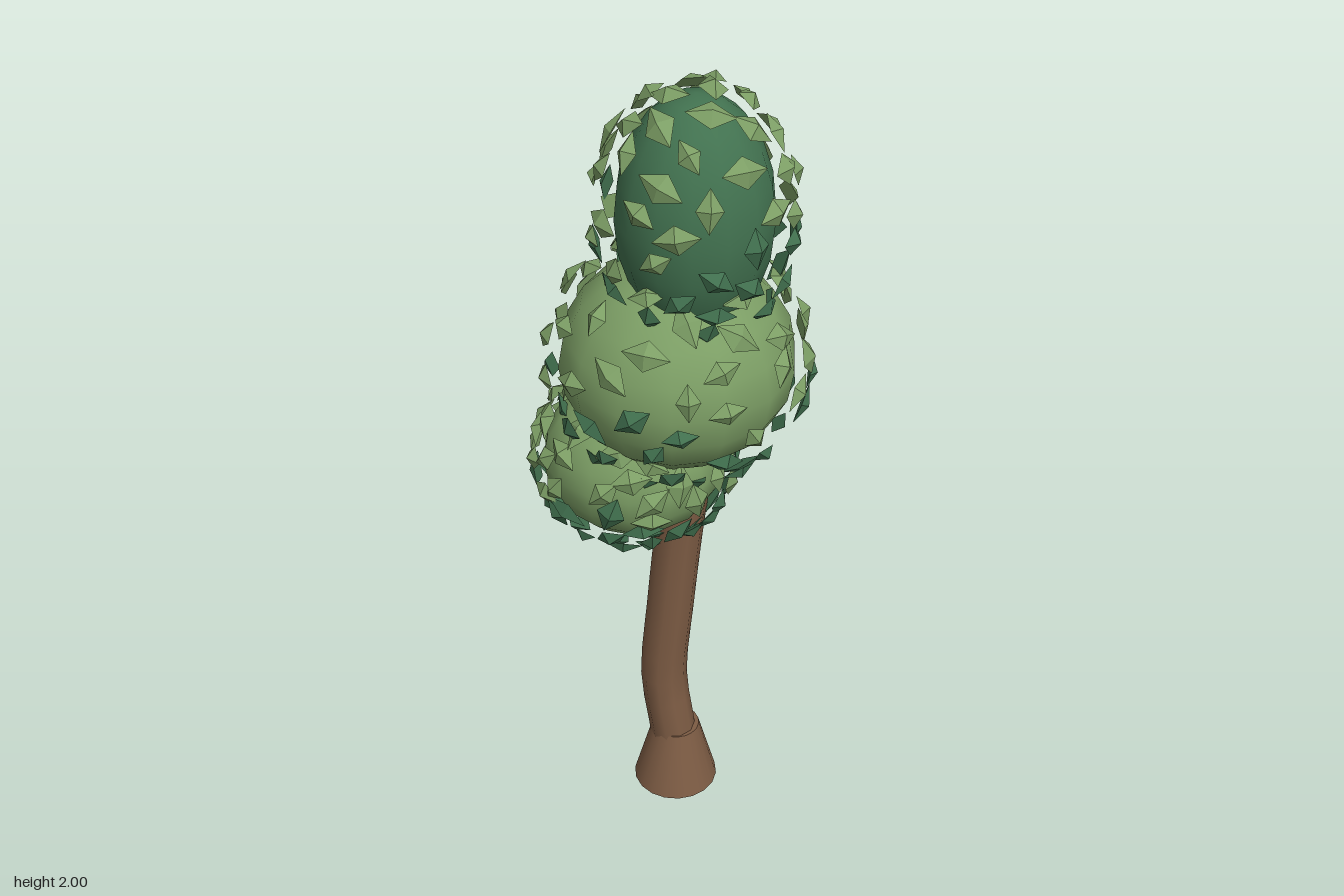
import * as THREE from 'three';
import { mergeGeometries } from 'three/addons/utils/BufferGeometryUtils.js';

const material = (name, color) => {
  const m = new THREE.MeshStandardMaterial({ color });
  m.name = name;
  return m;
};

// Small seeded generator
function seeded(seed) {
  return () => {
    seed = (seed * 16807) % 2147483647;
    return seed / 2147483647;
  };
}

// Crown clumps: foliage centre and radii, plus the radii of the leaf shell around it
const CLUMPS = [
  { name: 'lower', centre: [-0.08, 1.025, 0.02], radii: [0.215, 0.188, 0.2], shell: [0.25, 0.217, 0.236], leaves: 100, color: 'light' },
  { name: 'middle', centre: [0.022, 1.305, 0], radii: [0.272, 0.25, 0.277], shell: [0.313, 0.298, 0.306], leaves: 84, color: 'light' },
  { name: 'upper', centre: [0.062, 1.68, 0.005], radii: [0.178, 0.285, 0.178], shell: [0.234, 0.312, 0.234], leaves: 80, color: 'dark' },
];

// One leaf: a shallow flat-faced diamond pyramid pointing along +y
function leafGeometry() {
  const g = new THREE.ConeGeometry(0.5, 1, 4, 1).toNonIndexed();
  g.computeVertexNormals();
  return g;
}

// Scatter leaves evenly over a shell: light ones above, dark ones below
function leafShell({ centre, shell, leaves }, seed) {
  const rand = seeded(seed);
  const leaf = leafGeometry();
  const up = new THREE.Vector3(0, 1, 0);
  const sets = { light: [], dark: [] };
  for (let i = 0; i < leaves; i++) {
    const y = 1 - (2 * (i + 0.5)) / leaves;
    const angle = i * 2.39996 + (rand() - 0.5) * 0.35;
    const r = Math.sqrt(1 - y * y);
    const dir = new THREE.Vector3(Math.cos(angle) * r, y, Math.sin(angle) * r);
    const position = new THREE.Vector3(
      centre[0] + dir.x * shell[0], centre[1] + dir.y * shell[1], centre[2] + dir.z * shell[2]);
    const normal = new THREE.Vector3(dir.x / shell[0], dir.y / shell[1], dir.z / shell[2]).normalize();
    const turn = new THREE.Quaternion().setFromUnitVectors(up, normal)
      .multiply(new THREE.Quaternion().setFromAxisAngle(up, rand() * Math.PI * 2));
    const size = 0.85 + rand() * 0.3;
    const scale = new THREE.Vector3(0.1 * size, 0.02, 0.062 * size);
    const matrix = new THREE.Matrix4().compose(position, turn, scale);
    const tone = y + (rand() - 0.5) * 0.4 > -0.08 ? 'light' : 'dark';
    sets[tone].push(leaf.clone().applyMatrix4(matrix));
  }
  return sets;
}

export function createModel() {
  const tree = new THREE.Group();
  tree.name = 'tree';
  const bark = material('bark brown', 0x7d5c44);
  const greens = {
    light: material('light leaf green', 0x7c9e65),
    dark: material('dark leaf green', 0x427250),
  };
  const add = (parent, name, geometry, mat) => {
    const mesh = new THREE.Mesh(geometry, mat);
    mesh.name = name;
    parent.add(mesh);
    return mesh;
  };

  // Flared foot
  add(tree, 'trunkBase', new THREE.CylinderGeometry(0.06, 0.107, 0.175, 18), bark)
    .position.set(0.022, 0.0875, 0.005);

  // Bent trunk
  const path = new THREE.CatmullRomCurve3([
    [0.02, 0.12], [0.01, 0.2], [-0.008, 0.34], [0.009, 0.58], [0.034, 0.85], [0.057, 1.03],
  ].map(([x, y]) => new THREE.Vector3(x, y, 0.009)));
  add(tree, 'trunk', new THREE.TubeGeometry(path, 12, 0.058, 10), bark);

  // Crown clumps, each with its loose shell of leaves
  CLUMPS.forEach((clump, i) => {
    const group = new THREE.Group();
    group.name = `${clump.name}Crown`;
    const foliage = new THREE.SphereGeometry(1, 14, 10).scale(...clump.radii);
    add(group, `${clump.name}Foliage`, foliage, greens[clump.color]).position.set(...clump.centre);
    const sets = leafShell(clump, 101 + i * 977);
    for (const tone of ['light', 'dark']) {
      add(group, `${clump.name}${tone === 'light' ? 'Light' : 'Dark'}Leaves`, mergeGeometries(sets[tone]), greens[tone]);
    }
    tree.add(group);
  });
  return tree;
}
